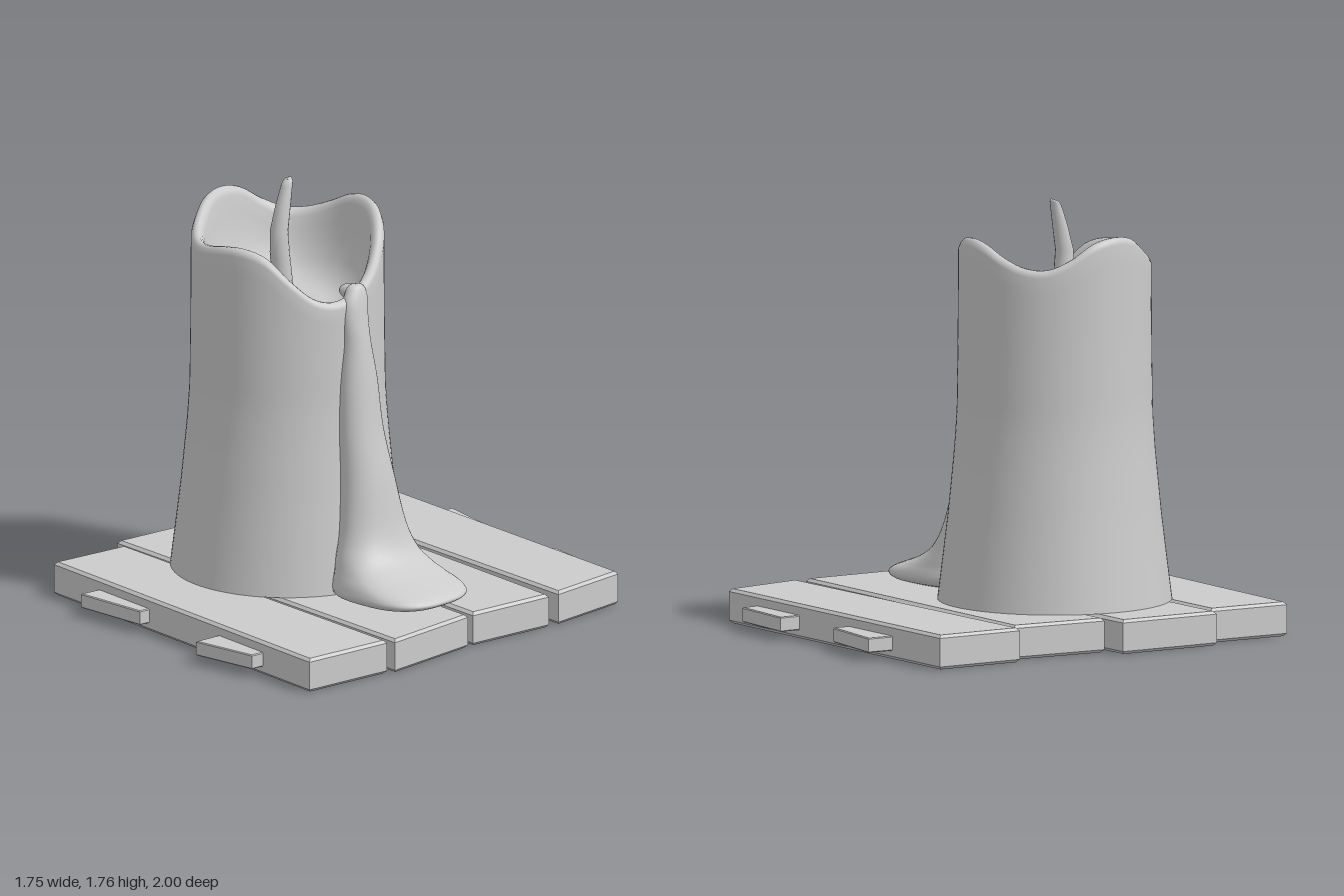
import * as THREE from 'three';

const V = (x, y, z) => new THREE.Vector3(x, y, z);
const wax = new THREE.MeshStandardMaterial({ color: 0xcccccc, side: THREE.DoubleSide });
const wood = new THREE.MeshStandardMaterial({ color: 0xcccccc, flatShading: true });

function part(name, geometry, material) {
  const mesh = new THREE.Mesh(geometry, material);
  mesh.name = name;
  return mesh;
}

// Smooth surface through closed rings of equal length, listed from bottom to top
function loft(rings) {
  const n = rings[0].length, index = [];
  for (let i = 0; i < rings.length - 1; i++) {
    for (let j = 0; j < n; j++) {
      const a = i * n + j, b = i * n + (j + 1) % n;
      index.push(a, a + n, b, b, a + n, b + n);
    }
  }
  const g = new THREE.BufferGeometry().setFromPoints(rings.flat());
  g.setIndex(index);
  g.computeVertexNormals();
  return g;
}

// Bevelled board from four [x, z] corners between two heights
function board(corners, y0, y1, bevel) {
  const shape = new THREE.Shape(corners.map(([x, z]) => new THREE.Vector2(x, z)));
  const g = new THREE.ExtrudeGeometry(shape, {
    depth: y1 - y0 - 2 * bevel, bevelThickness: bevel, bevelSize: bevel,
    bevelOffset: -bevel, bevelSegments: 1,
  });
  g.rotateX(Math.PI / 2);
  g.translate(0, y1 - bevel, 0);
  return g;
}

// Evenly spaced smooth interpolation through triples
const spline = (points, closed = false) =>
  new THREE.CatmullRomCurve3(points.map((p) => V(...p)), closed, 'catmullrom', 0.5);

const CX = -0.183, CZ = 0.085, SEG = 96;

function candleBody() {
  // Rim height every 15 degrees, from the right side round by the front
  const heights = [1.36, 1.335, 1.36, 1.44, 1.53, 1.56, 1.555, 1.535, 1.525, 1.535, 1.575, 1.63,
    1.645, 1.625, 1.565, 1.525, 1.53, 1.565, 1.61, 1.625, 1.61, 1.56, 1.485, 1.41];
  const rim = spline(heights.map((h) => [0, h, 0]), true);
  const sides = [[0.14, 0.472], [0.3, 0.452], [0.5, 0.428], [0.75, 0.404], [0.9, 0.394], [1.2, 0.39], [1.7, 0.388]];
  const radiusAt = (y) => {
    let i = 0;
    while (i < sides.length - 2 && y > sides[i + 1][0]) i++;
    const [[ya, ra], [yb, rb]] = [sides[i], sides[i + 1]];
    return ra + (rb - ra) * (y - ya) / (yb - ya);
  };
  const ring = (f) => Array.from({ length: SEG }, (_, j) => {
    const a = j / SEG * Math.PI * 2;
    const [r, y] = f(rim.getPoint(j / SEG).y);
    return V(CX + r * Math.cos(a), y, CZ + r * Math.sin(a));
  });
  const rings = [];
  for (let i = 0; i <= 20; i++) {
    rings.push(ring((h) => {
      const y = 0.14 + (h - 0.17) * i / 20;
      return [radiusAt(y), y];
    }));
  }
  // Rounded lip
  for (const [inset, drop] of [[0.006, 0.012], [0.018, 0.001], [0.032, 0.002], [0.045, 0.014], [0.054, 0.035]]) {
    rings.push(ring((h) => [0.388 - inset, h - drop]));
  }
  // Hollow running down to the melted floor
  const floor = 1.25;
  for (const [r, k] of [[0.325, 0.8], [0.31, 0.55], [0.285, 0.3], [0.25, 0.12], [0.2, 0.02], [0.15, 0], [0.001, 0]]) {
    rings.push(ring((h) => [r, floor + (h - 0.035 - floor) * k]));
  }
  return loft(rings);
}

function waxDrip() {
  // y, inner x, outer x, back z, front z, squareness (1 is an ellipse)
  const rows = [
    [0.14, 0.2, 0.64, -0.09, 0.28, 0.8], [0.15, 0.19, 0.685, -0.12, 0.315, 0.75],
    [0.17, 0.19, 0.71, -0.135, 0.33, 0.75], [0.195, 0.19, 0.68, -0.13, 0.325, 0.75],
    [0.22, 0.19, 0.61, -0.12, 0.315, 0.8], [0.25, 0.19, 0.53, -0.11, 0.3, 0.85],
    [0.3, 0.19, 0.45, -0.095, 0.28, 0.9], [0.4, 0.18, 0.402, -0.07, 0.245, 1],
    [0.6, 0.17, 0.362, -0.03, 0.215, 1], [0.8, 0.16, 0.318, 0, 0.2, 1],
    [1.0, 0.15, 0.288, 0.01, 0.18, 1], [1.15, 0.15, 0.263, 0.03, 0.158, 1],
    [1.25, 0.15, 0.243, 0.03, 0.155, 1], [1.32, 0.15, 0.23, 0.022, 0.145, 1],
    [1.365, 0.15, 0.217, 0.028, 0.12, 1], [1.385, 0.16, 0.205, 0.045, 0.1, 1],
    [1.39, 0.181, 0.183, 0.07, 0.072, 1],
  ];
  const xs = spline(rows.map((r) => [r[1], r[2], r[0]]));
  const zs = spline(rows.map((r) => [r[3], r[4], r[5]]));
  const power = (v, e) => Math.sign(v) * Math.abs(v) ** e;
  const rings = [];
  for (let i = 0; i <= 64; i++) {
    const { x: x0, y: x1, z: y } = xs.getPoint(i / 64);
    const { x: z0, y: z1, z: e } = zs.getPoint(i / 64);
    rings.push(Array.from({ length: 40 }, (_, j) => {
      const a = j / 40 * Math.PI * 2;
      return V((x0 + x1) / 2 + (x1 - x0) / 2 * power(Math.cos(a), e), y,
        (z0 + z1) / 2 + (z1 - z0) / 2 * power(Math.sin(a), e));
    }));
  }
  return loft(rings);
}

function wickShape() {
  // Centre x, y, z and radius
  const rows = [[-0.18, 1.22, 0.115, 0.046], [-0.18, 1.36, 0.122, 0.042], [-0.18, 1.46, 0.134, 0.04],
    [-0.18, 1.55, 0.138, 0.037], [-0.18, 1.65, 0.115, 0.031], [-0.18, 1.74, 0.092, 0.024],
    [-0.18, 1.753, 0.088, 0.018], [-0.18, 1.755, 0.088, 0.001]];
  return loft(rows.map(([x, y, z, r]) => Array.from({ length: 16 }, (_, j) => {
    const a = j / 16 * Math.PI * 2;
    // The tip is cut on a slant
    return V(x + r * Math.cos(a), y - (y > 1.7 ? 0.5 * r * Math.sin(a) : 0), z + r * Math.sin(a));
  })));
}

export function createModel() {
  const model = new THREE.Group();
  model.name = 'candleOnPallet';

  // Four uneven planks
  [
    [[-0.66, -0.93], [0.86, -0.745], [0.875, -0.38], [-0.71, -0.55]],
    [[-0.65, -0.53], [0.87, -0.33], [0.82, 0.06], [-0.73, -0.12]],
    [[-0.82, -0.1], [0.82, 0.09], [0.84, 0.535], [-0.88, 0.345]],
    [[-0.815, 0.37], [0.82, 0.56], [0.77, 0.96], [-0.87, 0.725]],
  ].forEach((c, i) => model.add(part(`plank${i + 1}`, board(c, 0, 0.14, 0.012), wood)));

  // Two battens running through the planks
  [
    [[-0.3, -1], [0.01, -0.92], [-0.265, 0.86], [-0.595, 0.855]],
    [[0.36, -0.9], [0.665, -0.84], [0.465, 0.975], [0.175, 0.995]],
  ].forEach((c, i) => model.add(part(`batten${i + 1}`, board(c, 0.035, 0.095, 0.004), wood)));

  model.add(part('candleBody', candleBody(), wax));
  model.add(part('wick', wickShape(), wax));
  model.add(part('waxDrip', waxDrip(), wax));

  // Small tongue of wax spilling over the lip
  const spill = part('waxSpill', new THREE.SphereGeometry(1, 24, 16), wax);
  spill.scale.set(0.058, 0.032, 0.036);
  spill.position.set(0.158, 1.352, 0.073);
  model.add(spill);

  return model;
}
